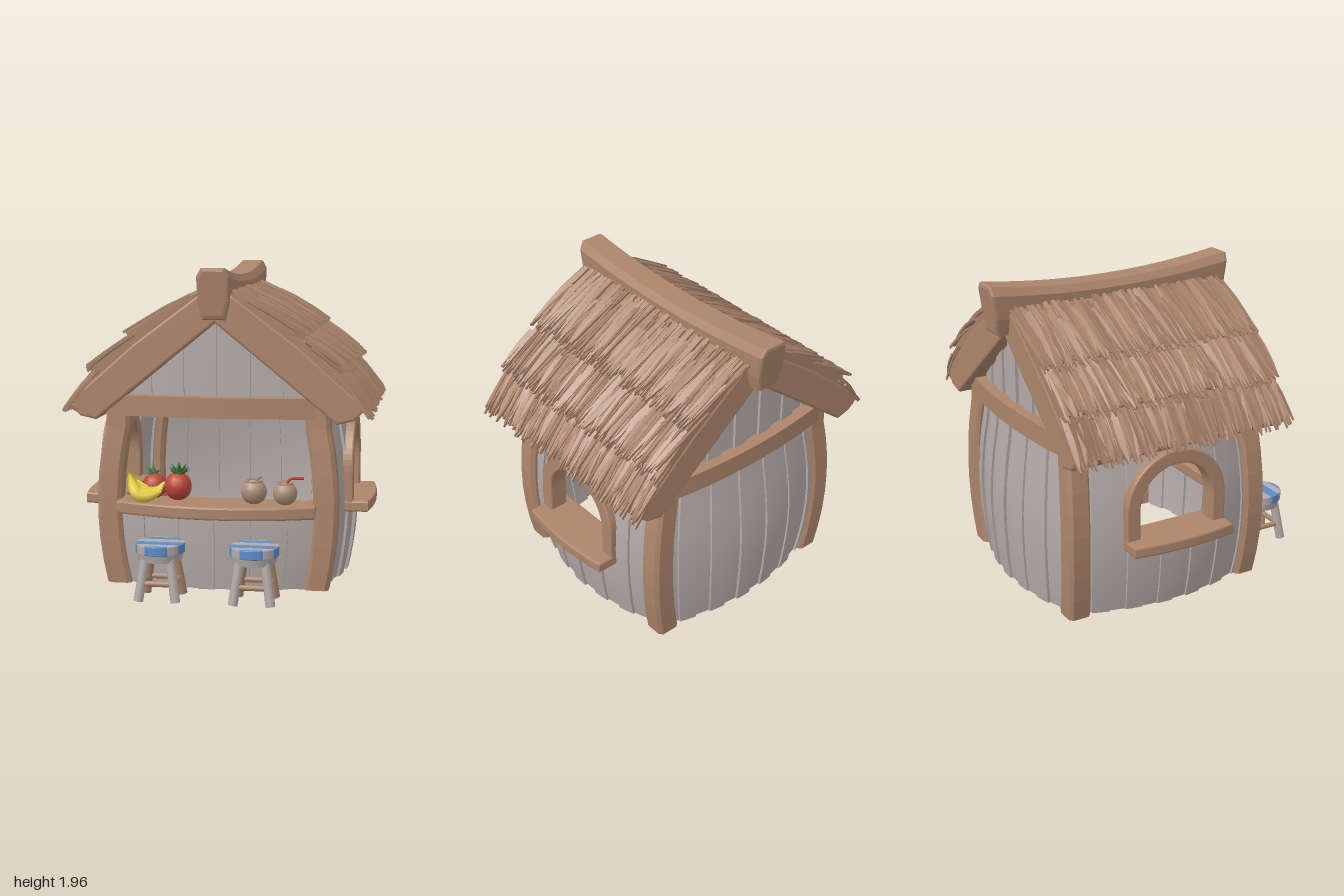
import * as THREE from 'three';
import { mergeGeometries } from 'three/addons/utils/BufferGeometryUtils.js';

const mat = (name, color) => {
  const m = new THREE.MeshStandardMaterial({ color });
  m.name = name;
  return m;
};

export function createModel() {
  const wood = mat('brown wood', 0xac856b), thatch = mat('thatch', 0xa8826a);
  const grey = mat('grey planks', 0xb3aaa8), blue = mat('blue stripe', 0x5b8cc8);
  const red = mat('red fruit', 0xbb4737), yellow = mat('banana yellow', 0xe2cb40);
  const green = mat('leaf green', 0x3d6f38), shell = mat('coconut', 0xab8e77);

  let seed = 7;
  const rand = (a = 0, b = 1) => {
    seed = (seed * 16807) % 2147483647;
    return a + (b - a) * (seed / 2147483647);
  };
  const model = new THREE.Group();
  model.name = 'beachHut';
  const group = (name, parent = model) => {
    const g = new THREE.Group();
    g.name = name;
    parent.add(g);
    return g;
  };
  const add = (parent, name, geo, material, x = 0, y = 0, z = 0) => {
    const m = new THREE.Mesh(geo, material);
    m.name = name;
    m.position.set(x, y, z);
    parent.add(m);
    return m;
  };
  // Move every vertex of a geometry by a rule
  const warp = (geo, rule) => {
    const p = geo.attributes.position, v = new THREE.Vector3();
    for (let i = 0; i < p.count; i++) {
      v.fromBufferAttribute(p, i);
      rule(v, i);
      p.setXYZ(i, v.x, v.y, v.z);
    }
    geo.computeVertexNormals();
    return geo;
  };
  const polygon = pts => new THREE.Shape(pts.map(p => new THREE.Vector2(...p)));
  const extrude = (shape, depth, bevel = 0, steps = 1) => new THREE.ExtrudeGeometry(shape, {
    depth, steps, bevelEnabled: bevel > 0, bevelSize: bevel, bevelThickness: bevel, bevelSegments: 2, curveSegments: 14,
  });

  const hut = group('hut');
  hut.position.z = -0.13;
  const BX = 0.06, BZ = 0.035; // barrel bow of the sides and of the front and back
  const bow = y => Math.max(0, 1 - ((y - 0.5) / 0.52) ** 2);

  // Curved board facing +z, s runs -1..1 between the corner posts
  const board = (s0, s1, lo, hi, o) => warp(new THREE.BoxGeometry(1, 1, 1, o.cols || 3, o.rows || 8, 1), v => {
    const s = THREE.MathUtils.lerp(s0, s1, v.x + 0.5);
    const y = THREE.MathUtils.lerp(lo(s), hi(s), v.y + 0.5);
    const bulge = o.bulge - (o.taper || 0) * Math.max(0, y - 0.5);
    v.set(s * (0.61 + o.lat * bow(y)), y,
      0.59 + o.out * bow(y) + bulge * (1 - s * s) + v.z * o.thick + o.shift);
  });
  // Neighbouring planks overlap slightly and alternate in depth
  const N = 12, LAP = 0.002;
  const plankDepth = i => (i % 2 ? 0.007 : -0.009) + rand(-0.003, 0.003);
  const planks = (parent, name, lo, hi, o) => {
    const list = [];
    for (let i = 0; i < N; i++) {
      const s0 = -1 + (2 * i) / N;
      list.push(board(s0 - LAP, s0 + 2 / N + LAP, lo, hi, { ...o, thick: 0.035, shift: plankDepth(i) }));
    }
    add(parent, name, mergeGeometries(list), grey);
  };
  // Horizontal shelf with a bowed outer edge
  const shelf = (half, inner, end, mid, top, thick) => {
    const s = new THREE.Shape();
    s.moveTo(-half, inner);
    s.lineTo(half, inner);
    s.lineTo(half, end);
    s.quadraticCurveTo(0, 2 * mid - end, -half, end);
    return extrude(s, thick - 0.024, 0.012).rotateX(Math.PI / 2).translate(0, top - 0.012, 0);
  };

  // Front and back walls, gables and tie beams
  const roofLine = s => 1.7 - 0.81 * Math.abs(s) * 0.61;
  const ends = { lat: BX, out: BZ, bulge: 0.125, taper: 0.05 };
  for (const [name, turn, top] of [['frontWall', 0, 0.5], ['backWall', Math.PI, 1.1]]) {
    const wall = group(name, hut);
    wall.rotation.y = turn;
    planks(wall, 'wallPlanks', () => 0, () => top, ends);
    planks(wall, 'gablePlanks', () => 1.08, roofLine, { ...ends, bulge: 0.05, taper: 0 });
    add(wall, 'tieBeam', board(-0.98, 0.98, () => 1.055, () => 1.18,
      { lat: 0, out: 0, bulge: 0.05, thick: 0.13, cols: 14, rows: 2, shift: 0.025 }), wood);
  }

  // Side walls with arched windows
  const archPath = (Type, r, bottom) => {
    const p = new Type();
    p.moveTo(-r, bottom);
    p.lineTo(r, bottom);
    p.lineTo(r, 0.68);
    p.absarc(0, 0.68, r, 0, Math.PI, false);
    p.lineTo(-r, bottom);
    return p;
  };
  for (const side of [1, -1]) {
    const wall = group(side > 0 ? 'leftWall' : 'rightWall', hut);
    wall.rotation.y = side * Math.PI / 2;
    const list = [];
    for (let i = 0; i < N; i++) {
      const s0 = -1 + (2 * i) / N - LAP, s1 = s0 + 2 / N + 2 * LAP;
      const p = { lat: BZ, out: BX, bulge: 0.142, thick: 0.035, shift: plankDepth(i) };
      if (i < 3 || i > 8) {
        list.push(board(s0, s1, () => 0, () => 1.1, p));
      } else {
        list.push(board(s0, s1, () => 0, () => 0.47, p));
        list.push(board(s0, s1, s => 0.68 + 0.3 * Math.sqrt(Math.max(0, 1 - 4 * s * s)), () => 1.1, p));
      }
    }
    add(wall, 'wallPlanks', mergeGeometries(list), grey);
    const frame = archPath(THREE.Shape, 0.335, 0.46);
    frame.holes.push(archPath(THREE.Path, 0.265, 0.485));
    add(wall, 'windowFrame', extrude(frame, 0.1, 0.01), wood, 0, 0, 0.7);
    add(wall, 'windowSill', shelf(0.335, 0.65, 0.895, 0.925, 0.5, 0.07), wood);
  }

  // Bowed, chamfered square corner posts
  for (const x of [1, -1]) for (const z of [1, -1]) {
    const post = new THREE.CylinderGeometry(0.135, 0.135, 1.13, 8, 8).rotateY(Math.PI / 8)
      .translate(0, 0.565, 0).toNonIndexed();
    add(hut, 'cornerPost', warp(post, v => {
      const b = bow(v.y), c = THREE.MathUtils.clamp;
      v.x = c(v.x, -0.075, 0.075) + x * (0.61 + BX * b);
      v.z = c(v.z, -0.072, 0.072) + z * (0.6 + BZ * 0.6 * b);
    }), wood);
  }
  add(hut, 'counter', shelf(0.6, 0.55, 0.73, 0.85, 0.535, 0.08), wood);

  // Roof slab
  const half = [[0.74, 1.05], [0.83, 1.07], [0.88, 1.12], [0.85, 1.17], [0.5, 1.48], [0.1, 1.78]];
  const slab = polygon([[0, 1.65], ...half, ...half.map(([x, y]) => [-x, y]).reverse()]);
  add(hut, 'roofSlab', extrude(slab, 1.44, 0.015), wood, 0, 0, -0.72);

  // Three ragged thatch tiers on each slope
  const tiers = [
    [[0.07, 1.82], [0.3, 1.7], [0.515, 1.56]],
    [[0.36, 1.63], [0.585, 1.485], [0.775, 1.335]],
    [[0.6, 1.425], [0.77, 1.275], [0.905, 1.085]],
  ];
  for (const side of [1, -1]) {
    const roof = group(side > 0 ? 'leftThatch' : 'rightThatch', hut);
    if (side < 0) roof.rotation.y = Math.PI;
    tiers.forEach((t, k) => {
      const curve = new THREE.SplineCurve(t.map(p => new THREE.Vector2(...p)));
      const top = [0, 0.3, 0.6, 0.9].map(u => curve.getPoint(u).toArray());
      const under = top.map(([x, y], i) => [x - 0.02, y - (i < 3 ? 0.06 : 0.03)]);
      add(roof, 'thatchBed', extrude(polygon([...under, ...top.reverse()]), 1.46), thatch, 0, 0, -0.73);
      const blades = [], count = 230;
      for (let i = 0; i < count; i++) {
        const z0 = -0.74 + 1.48 * (i + rand()) / count, w = rand(0.018, 0.034), lean = rand(-0.035, 0.035);
        const from = k ? rand(0.05, 0.5) : rand(0, 0.45), to = rand(0.88, 1.09), lift = rand(0.004, 0.032);
        const roll = rand(-0.5, 0.5);
        blades.push(warp(new THREE.BoxGeometry(1, 1, 1, 3, 1, 1), v => {
          const u = v.x + 0.5, q = from + (to - from) * u;
          const p = curve.getPoint(Math.min(q, 1)), d = curve.getTangent(Math.min(q, 1));
          const wide = w * [0.7, 1, 0.8, 0.15][Math.round(u * 3)];
          const over = Math.max(0, q - 1) * 0.45, h = lift * (0.5 + 0.6 * u) + v.y * 0.016 + v.z * wide * roll;
          v.set(p.x + d.x * over - d.y * h, p.y + d.y * over + d.x * h, z0 + lean * (u - 0.5) + v.z * wide);
        }));
      }
      add(roof, 'thatchBlades', mergeGeometries(blades), thatch);
    });
  }

  // Sagging ridge beam, longer at the top than underneath
  const ridge = polygon([[-0.055, 1.67], [0.055, 1.67], [0.075, 1.74], [0.08, 1.85], [0.06, 1.878],
    [-0.06, 1.878], [-0.08, 1.85], [-0.075, 1.74]]);
  add(hut, 'ridgeBeam', warp(extrude(ridge, 1.63, 0.02, 14).translate(0, 0, -0.815), v => {
    const t = v.z / 0.835, h = (v.y - 1.65) / 0.245;
    v.y += 0.065 * t * t * h;
    v.z *= 0.95 + 0.05 * h;
  }), wood, 0, 0, -0.022);

  // Striped stools
  const rod = (parent, name, a, b, r, material) => {
    const A = new THREE.Vector3(...a), B = new THREE.Vector3(...b);
    const m = add(parent, name, new THREE.CylinderGeometry(r, r, A.distanceTo(B), 8), material);
    m.position.copy(A).lerp(B, 0.5);
    m.quaternion.setFromUnitVectors(new THREE.Vector3(0, 1, 0), B.sub(A).normalize());
  };
  for (const x of [-0.285, 0.28]) {
    const stool = group('stool');
    stool.position.set(x, 0, 0.848);
    add(stool, 'seatBase', new THREE.CylinderGeometry(0.14, 0.13, 0.05, 20), grey, 0, 0.265, 0);
    const R = 0.142;
    for (let i = 0; i < 6; i++) {
      const right = [], left = [];
      for (let j = 0; j <= 5; j++) {
        const a = -Math.PI / 2 + (Math.PI * (i + j / 5)) / 6, z = R * Math.sin(a), w = R * Math.cos(a);
        right.push([Math.max(w, 0.001), z]);
        left.unshift([-Math.max(w, 0.001), z]);
      }
      add(stool, 'seatStripe', extrude(polygon([...right, ...left]), 0.047, 0.005).rotateX(Math.PI / 2),
        i % 2 ? blue : grey, 0, 0.338, 0);
    }
    for (const sx of [1, -1]) for (const sz of [1, -1]) {
      rod(stool, 'stoolLeg', [sx * 0.112, 0.006, sz * 0.112], [sx * 0.075, 0.26, sz * 0.075], 0.029, sz > 0 ? grey : wood);
    }
    for (const s of [1, -1]) {
      rod(stool, 'stoolRung', [-0.1, 0.11, s * 0.098], [0.1, 0.11, s * 0.098], 0.017, wood);
      rod(stool, 'stoolRung', [s * 0.098, 0.11, -0.1], [s * 0.098, 0.11, 0.1], 0.017, wood);
    }
  }

  // Bananas, tapered tubes fanned from one stem
  const fruit = group('fruit');
  for (let i = 0; i < 4; i++) {
    const z = 0.515 + i * 0.036, d = i * 0.012;
    const curve = new THREE.CatmullRomCurve3([[-0.535, 0.71 - d, 0.57], [-0.525 + d, 0.635 - d, z],
      [-0.46, 0.592 - d / 2, z + 0.01], [-0.39, 0.59 - d / 3, z + 0.01], [-0.325, 0.64 - d, z]]
      .map(p => new THREE.Vector3(...p)));
    add(fruit, 'banana', warp(new THREE.TubeGeometry(curve, 16, 0.041, 7), (v, n) => {
      const t = Math.floor(n / 8) / 16;
      v.lerp(curve.getPointAt(t), 1 - Math.max(0.2, Math.sin(Math.PI * t) ** 0.7));
    }), yellow);
  }

  // Round fruits with leaf crowns
  const crown = (x, y, z, count, length, spread) => {
    for (let i = 0; i < count; i++) {
      const leaf = new THREE.ConeGeometry(0.032, length, 5).scale(1, 1, 0.5).translate(0, length / 2, 0);
      leaf.rotateX(i ? spread * (i % 2 ? 1 : 0.55) : 0).rotateY(i * 2.4);
      add(fruit, 'leaf', leaf, green, x, y, z);
    }
  };
  add(fruit, 'redApple', new THREE.SphereGeometry(0.078, 14, 10), red, -0.4, 0.61, 0.47);
  crown(-0.41, 0.68, 0.47, 3, 0.06, 1.2);
  add(fruit, 'redPineapple', new THREE.SphereGeometry(0.085, 14, 10).scale(1, 1.04, 1), red, -0.24, 0.622, 0.53);
  crown(-0.235, 0.69, 0.53, 12, 0.09, 1.05);

  // Coconut cups with bent straws
  for (const [x, r] of [[0.235, 0.08], [0.425, 0.075]]) {
    const cup = group('coconutCup');
    cup.position.set(x, 0.53 + r, 0.56);
    add(cup, 'shell', new THREE.SphereGeometry(r, 14, 9, 0, Math.PI * 2, 0.65, Math.PI - 0.65), shell);
    add(cup, 'rim', new THREE.TorusGeometry(r * 0.6, 0.008, 6, 14).rotateX(Math.PI / 2), shell, 0, r * 0.8, 0);
    add(cup, 'drink', new THREE.CircleGeometry(r * 0.6, 14).rotateX(-Math.PI / 2), grey, 0, r * 0.78, 0);
    const bend = r < 0.08 ? 0.115 : 0.05;
    const straw = new THREE.CatmullRomCurve3([[0, 0.03, 0], [0.03, 0.085, 0], [bend, 0.092, 0]]
      .map(p => new THREE.Vector3(...p)));
    add(cup, 'straw', new THREE.TubeGeometry(straw, 10, 0.009, 6), r < 0.08 ? red : shell);
  }
  return model;
}
